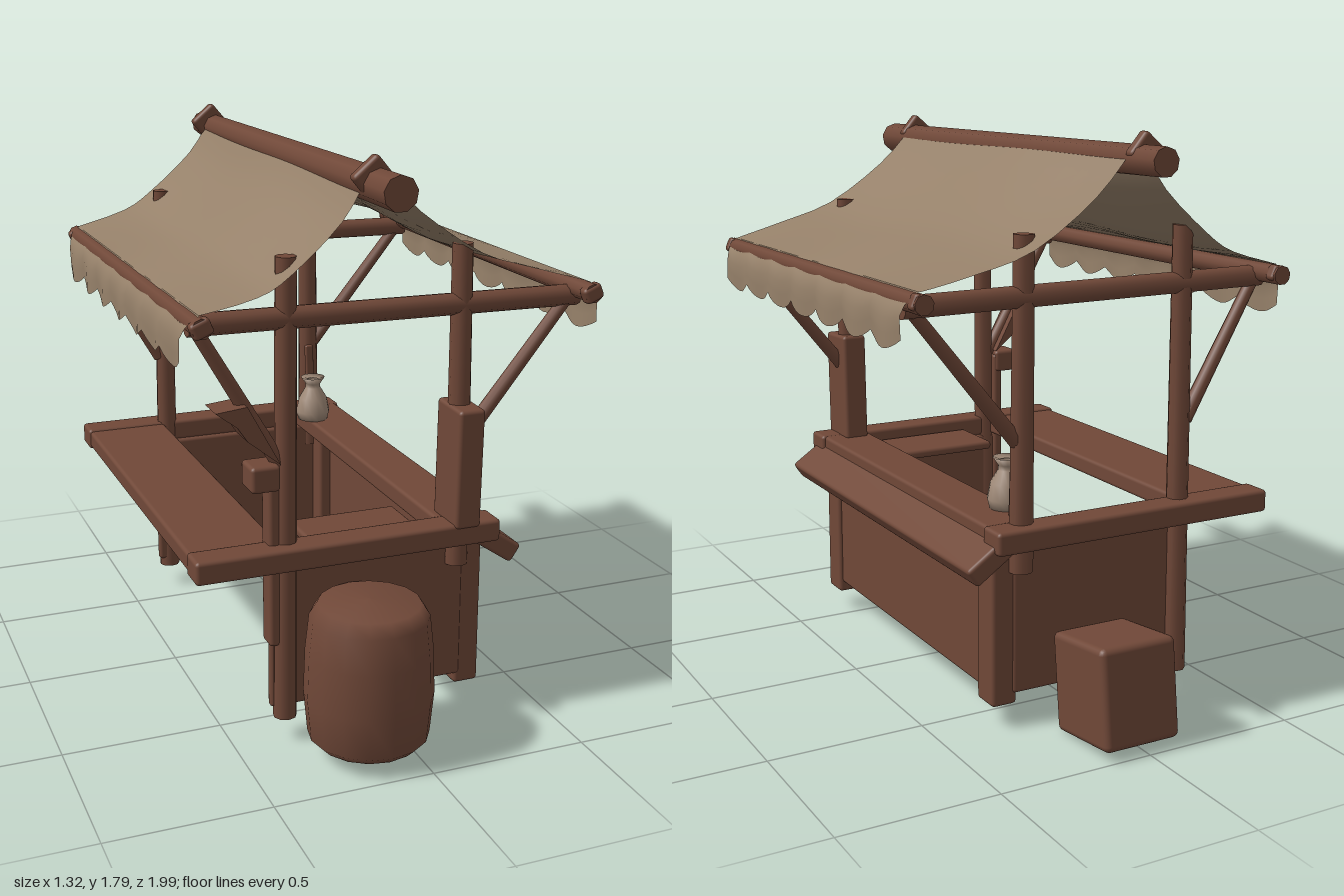
import * as THREE from 'three';
import { RoundedBoxGeometry } from 'three/addons/geometries/RoundedBoxGeometry.js';

export function createModel() {
  const stall = new THREE.Group();
  stall.name = 'marketStall';
  const wood = new THREE.MeshStandardMaterial({ color: 0x704838 });
  wood.name = 'wood';
  const cloth = new THREE.MeshStandardMaterial({ color: 0x958069, side: THREE.DoubleSide });
  cloth.name = 'cloth';
  const clay = new THREE.MeshStandardMaterial({ color: 0xa08a78, side: THREE.DoubleSide });
  clay.name = 'clay';

  const add = (name, geometry, material = wood) => {
    const mesh = new THREE.Mesh(geometry, material);
    mesh.name = name;
    stall.add(mesh);
    return mesh;
  };
  // Round timber between two points
  const log = (name, a, b, r1, r2 = r1) => {
    const p = new THREE.Vector3(...a), q = new THREE.Vector3(...b);
    const mesh = add(name, new THREE.CylinderGeometry(r2, r1, p.distanceTo(q), 9));
    mesh.position.copy(p).add(q).multiplyScalar(0.5);
    mesh.quaternion.setFromUnitVectors(new THREE.Vector3(0, 1, 0), q.sub(p).normalize());
    return mesh;
  };
  // Softened board or block
  const block = (name, w, h, d, x, y, z, rot = [0, 0, 0], r = 0.012) => {
    const mesh = add(name, new RoundedBoxGeometry(w, h, d, 2, r));
    mesh.position.set(x, y, z);
    mesh.rotation.set(...rot);
    return mesh;
  };

  // End frames: posts, cross beams, braces and side rails
  for (const s of [1, -1]) {
    const z = 0.64 * s;
    log('outerPost', [-0.335, 0.08, z], [-0.325, 1.51, z], 0.037, 0.032);
    log('innerPost', [0.235, 0.5, z], [0.23, 1.51, z], 0.038, 0.032);
    log('crossBeam', [-0.62, 1.335, z], [0.62, 1.325, z], 0.034);
    log('leftBrace', [0.25, 0.9, z], [0.6, 1.33, z], 0.024, 0.02);
    log('rightBrace', [-0.35, 0.9, z], [-0.6, 1.33, z], 0.024, 0.02);
    block('sideRail', 0.98, 0.072, 0.1, -0.14, 0.616, 0.665 * s);
    block('counterLeg', 0.085, 0.5, 0.1, 0.285, 0.325, 0.585 * s);
    block('endPanel', 0.64, 0.47, 0.03, -0.06, 0.345, 0.625 * s);
    block('ridgePeg', 0.1, 0.09, 0.04, -0.11, 1.735, 0.75 * s, [0, 0, 0.7]);
  }

  // Ridge pole and eave poles
  log('ridgePole', [-0.095, 1.71, 0.91], [-0.09, 1.715, -0.88], 0.052, 0.044);
  for (const s of [1, -1]) {
    log('eavePole', [0.61 * s, 1.35, 0.76], [0.61 * s, 1.35, -0.77], 0.03);
    for (const e of [1, -1]) {
      block('eavePoleKnob', 0.062, 0.05, 0.04, 0.61 * s, 1.35, 0.745 * e, [0, 0, 0.4]);
    }
  }

  // Sagging canopy slopes with scalloped valances
  for (const s of [1, -1]) {
    const slope = new THREE.SplineCurve([
      [-0.09 + 0.02 * s, 1.745], [-0.09 + (s > 0 ? 0.14 : -0.1), 1.62],
      [s > 0 ? 0.25 : -0.34, 1.485], [0.44 * s, 1.425], [0.61 * s, 1.382],
    ].map(p => new THREE.Vector2(...p)));
    const top = new THREE.PlaneGeometry(1, 1, 12, 16);
    const pos = top.attributes.position;
    for (let i = 0; i < pos.count; i++) {
      const t = pos.getX(i) + 0.5, v = pos.getY(i);
      const p = slope.getPoint(t);
      const sag = 0.012 * Math.sin(Math.PI * t) * Math.cos(v * 9 + s);
      pos.setXYZ(i, p.x, p.y + sag, v * 1.47 - 0.005);
    }
    top.computeVertexNormals();
    add('canopySlope', top, cloth);

    const edge = new THREE.PlaneGeometry(1, 1, 56, 4);
    const e = edge.attributes.position;
    for (let i = 0; i < e.count; i++) {
      const v = e.getX(i), t = 0.5 - e.getY(i);
      const scallop = 0.035 * Math.abs(Math.sin(v * 7 * Math.PI + Math.PI / 2));
      const drop = t * (0.135 + scallop);
      const out = 0.045 * Math.sin(Math.min(t * 2.2, 1) * Math.PI / 2) + 0.006 * t * Math.sin(v * 40);
      e.setXYZ(i, s * (0.61 + out), 1.382 - drop, v * (1.47 - 0.07 * Math.min(t * 2, 1)));
    }
    edge.computeVertexNormals();
    add('canopyValance', edge, cloth);
  }

  // Counter: level top, sloping front plank and front panel
  block('counterTop', 0.17, 0.065, 1.42, 0.255, 0.617, 0);
  block('counterLip', 0.15, 0.065, 1.38, 0.36, 0.558, 0, [0, 0, -0.6]);
  block('counterPanel', 0.03, 0.48, 1.27, 0.3, 0.35, 0);

  // Rear worktable and inner tray
  block('worktable', 0.28, 0.06, 1.4, -0.485, 0.615, 0);
  block('innerTray', 0.36, 0.03, 0.22, -0.05, 0.6, 0.5);

  // Sleeve and small boards on the posts
  block('postSleeve', 0.085, 0.38, 0.16, 0.235, 0.83, 0.645, [0.03, 0, 0]);
  block('postBracket', 0.09, 0.08, 0.1, -0.405, 0.868, 0.64);
  block('postBatten', 0.035, 0.57, 0.07, -0.372, 0.61, 0.63);
  const sign = new THREE.Shape([[-0.555, 1.085], [-0.46, 1.095], [-0.36, 0.91], [-0.46, 0.99], [-0.49, 1.035]]
    .map(p => new THREE.Vector2(...p)));
  add('hangingBoard', new THREE.ExtrudeGeometry(sign, { depth: 0.1, bevelEnabled: false })).position.z = 0.59;

  // Jug and a thin upright stick on the counter
  const jug = add('jug', new THREE.LatheGeometry([
    [0, 0], [0.055, 0], [0.062, 0.03], [0.052, 0.08], [0.028, 0.12], [0.027, 0.135], [0.044, 0.16], [0.02, 0.15],
  ].map(p => new THREE.Vector2(...p)), 14), clay);
  jug.position.set(0.19, 0.65, -0.475);
  block('stick', 0.03, 0.27, 0.02, 0.21, 0.775, -0.56, [0, 0, 0.03], 0.006);

  // Barrel in front
  const barrel = add('barrel', new THREE.LatheGeometry([
    [0, 0.04], [0.16, 0.045], [0.185, 0.07], [0.197, 0.2], [0.192, 0.34], [0.18, 0.45], [0.155, 0.49], [0, 0.5],
  ].map(p => new THREE.Vector2(...p)), 16));
  barrel.position.set(-0.125, 0, 0.8);

  // Leaning crate behind
  block('crate', 0.26, 0.31, 0.28, 0.02, 0.172, -0.84, [0.12, 0, 0], 0.02);

  return stall;
}
